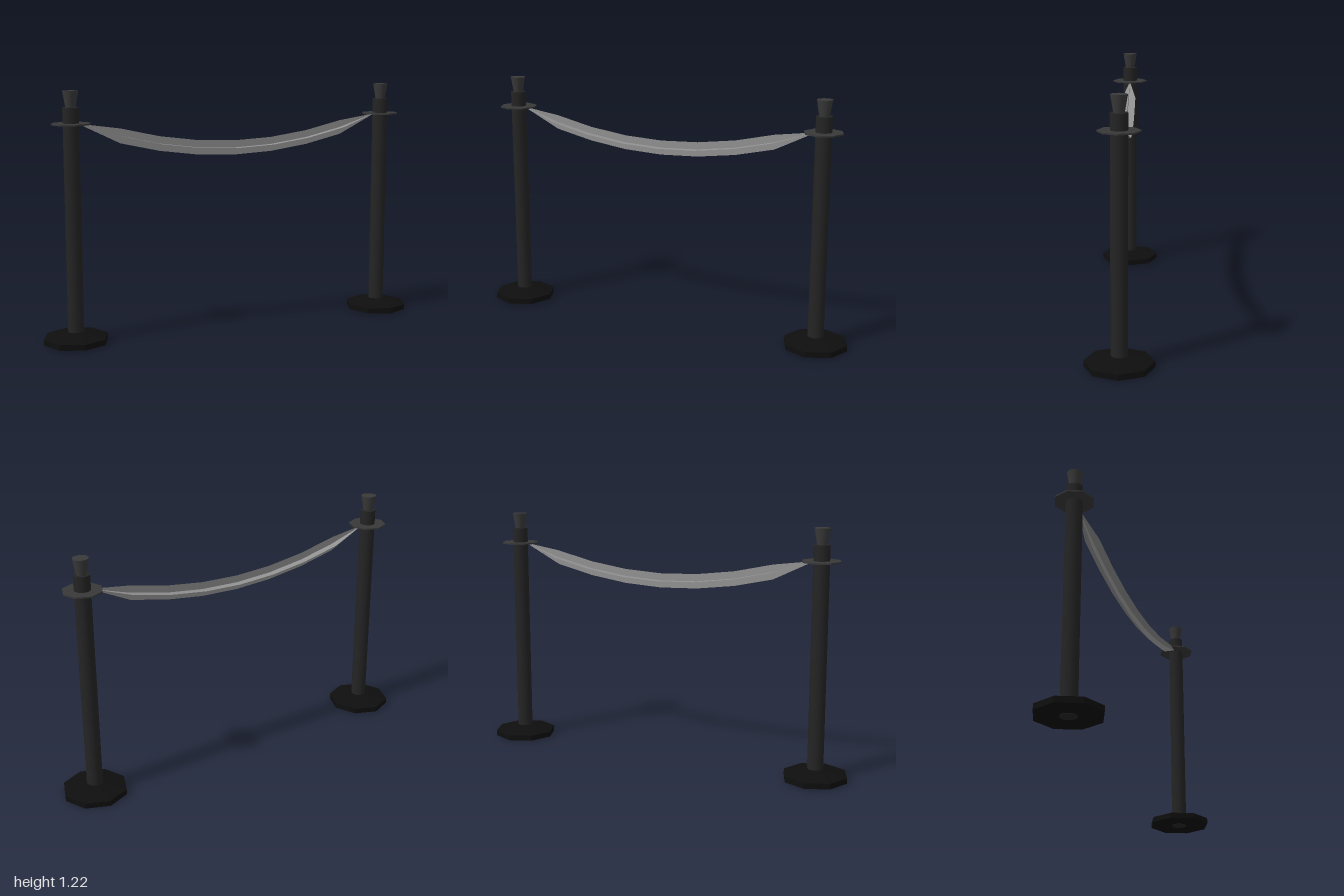
import * as THREE from 'three';

const mat = (color, extra = {}) => new THREE.MeshStandardMaterial({ color, ...extra });

function addMesh(parent, name, geometry, material, y = 0) {
  const mesh = new THREE.Mesh(geometry, material);
  mesh.name = name;
  mesh.position.y = y;
  parent.add(mesh);
  return mesh;
}

// One post: octagonal foot, round shaft, octagonal collar plate and flared cap
function makePost() {
  const post = new THREE.Group();
  const foot = mat(0x0e0e0e, { flatShading: true });
  addMesh(post, 'footRim', new THREE.CylinderGeometry(0.16, 0.16, 0.028, 8), foot, 0.016);
  addMesh(post, 'footSlope', new THREE.CylinderGeometry(0.036, 0.16, 0.027, 8, 1, true), foot, 0.0435);
  addMesh(post, 'shaft', new THREE.CylinderGeometry(0.039, 0.039, 1.14, 16), mat(0x242424), 0.57);
  addMesh(post, 'collarPlate', new THREE.CylinderGeometry(0.096, 0.096, 0.007, 8), mat(0x383838, { flatShading: true }), 1.062);
  addMesh(post, 'cap', new THREE.CylinderGeometry(0.038, 0.024, 0.08, 16), mat(0x3a3a3a), 1.178);
  return post;
}

// A strip along the sagging curve, tapering to a point at both ends
function ropeStrip(upright) {
  const half = 0.036;
  const stations = 8;
  const geometry = new THREE.PlaneGeometry(1.6, 2, stations, 1);
  const p = geometry.attributes.position;
  for (let i = 0; i < p.count; i++) {
    const x = p.getX(i);
    const w = Math.abs(x) > 0.79 ? 0.001 : half;
    const offset = p.getY(i) * w;
    const y = 0.915 + 0.2266 * x * x;
    p.setXYZ(i, x, y + (upright ? offset : 0), upright ? 0 : -offset);
  }
  geometry.computeVertexNormals();
  return geometry;
}

export function createModel() {
  const model = new THREE.Group();
  model.name = 'ropeBarrier';

  // Matching posts on both sides
  for (const side of [-1, 1]) {
    const post = makePost();
    post.name = side > 0 ? 'leftPost' : 'rightPost';
    post.position.x = side * 0.84;
    model.add(post);
  }

  // Rope made of two crossing strips
  const rope = new THREE.Group();
  rope.name = 'rope';
  const ropeMat = mat(0x929292, { side: THREE.DoubleSide });
  addMesh(rope, 'uprightStrip', ropeStrip(true), ropeMat);
  addMesh(rope, 'levelStrip', ropeStrip(false), ropeMat);
  model.add(rope);

  return model;
}
